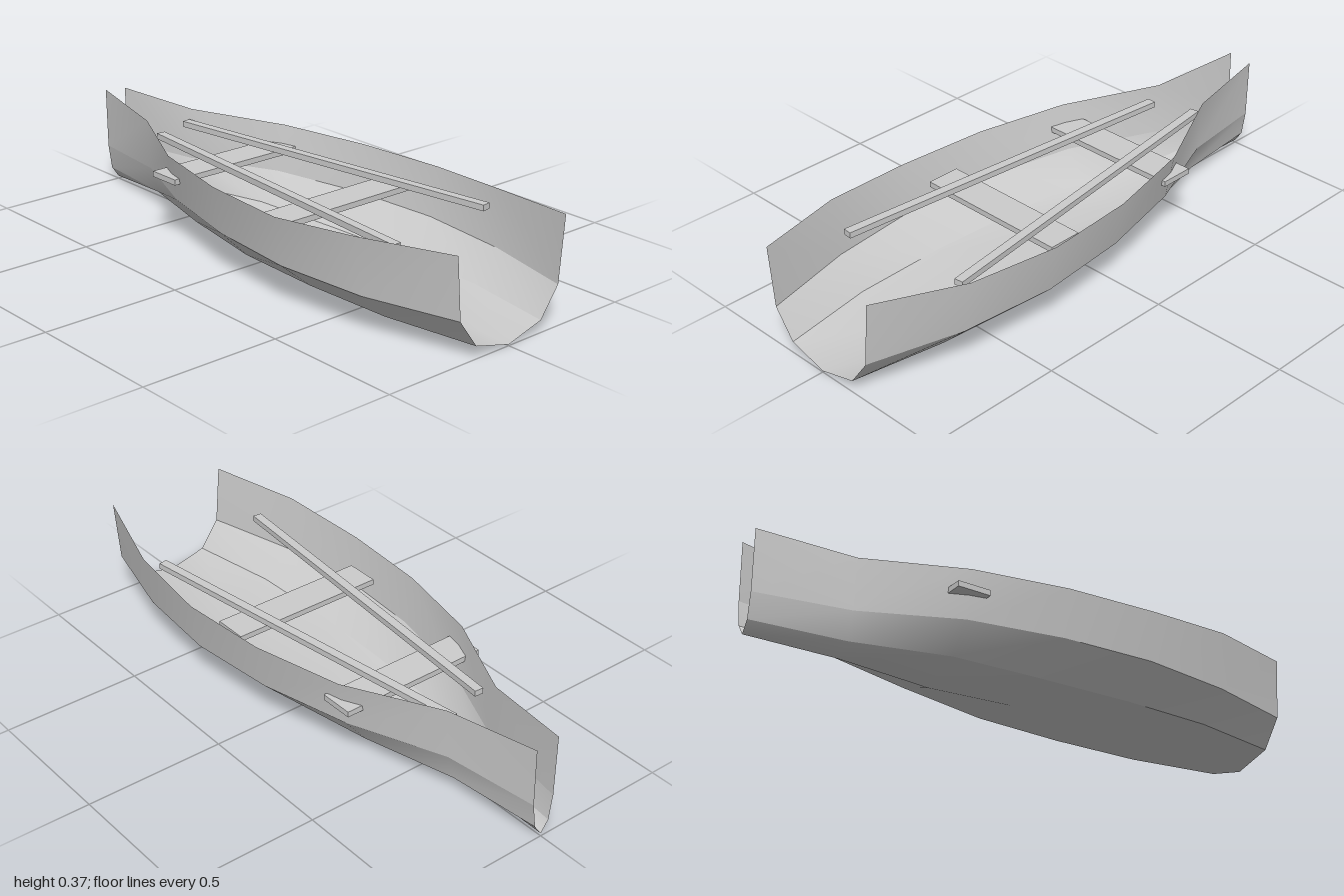
import * as THREE from 'three';

// Hull stations from bow to stern; each point is [half width, height]
const stations = [
  { z: 1.0, keel: 0.004, bilge: [0.143, 0.042], chine: [0.215, 0.141], sheer: 0.234, top: [0.367, 0.355] },
  { z: 0.667, keel: 0.01, bilge: [0.198, 0.042], chine: [0.3, 0.139], sheer: 0.326, top: [0.328, 0.34] },
  { z: 0.333, keel: 0.016, bilge: [0.208, 0.041], chine: [0.332, 0.143], sheer: 0.36, top: [0.315, 0.315] },
  { z: 0.0, keel: 0.018, bilge: [0.195, 0.041], chine: [0.305, 0.148], sheer: 0.335, top: [0.315, 0.316] },
  { z: -0.333, keel: 0.0, bilge: [0.15, 0.054], chine: [0.23, 0.153], sheer: 0.262, top: [0.32, 0.32] },
  { z: -0.667, keel: 0.016, bilge: [0.062, 0.052], chine: [0.09, 0.148], sheer: 0.102, top: [0.333, 0.331] },
  { z: -1.0, keel: 0.01, bilge: [0.028, 0.05], chine: [0.041, 0.14], sheer: 0.044, top: [0.35, 0.36] },
];

// Section points across the hull, from the left rim to the right rim
const section = (s) => [
  [s.sheer, s.top[0]], s.chine, s.bilge, [0, s.keel],
  [-s.bilge[0], s.bilge[1]], [-s.chine[0], s.chine[1]], [-s.sheer, s.top[1]],
];

// Skin between section points first..last, smooth within, creased at its borders
function strake(first, last) {
  const pos = [], idx = [], n = last - first + 1;
  stations.forEach((s, i) => {
    section(s).slice(first, last + 1).forEach(([x, y]) => pos.push(x, y, s.z));
    if (i === stations.length - 1) return;
    for (let j = 0; j < n - 1; j++) {
      const a = i * n + j, b = a + 1, c = a + n, d = c + 1;
      idx.push(a, b, c, b, d, c);
    }
  });
  const g = new THREE.BufferGeometry();
  g.setAttribute('position', new THREE.Float32BufferAttribute(pos, 3));
  g.setIndex(idx);
  g.computeVertexNormals();
  return g;
}

export function createModel() {
  const boat = new THREE.Group();
  boat.name = 'rowingBoat';
  const grey = new THREE.MeshStandardMaterial({ color: 0xcccccc, side: THREE.DoubleSide });
  grey.name = 'paleGrey';

  const add = (name, geometry) => {
    const mesh = new THREE.Mesh(geometry, grey);
    mesh.name = name;
    boat.add(mesh);
    return mesh;
  };

  // Open hull shell
  add('leftSide', strake(0, 1));
  add('leftBilge', strake(1, 2));
  add('bottom', strake(2, 4));
  add('rightBilge', strake(4, 5));
  add('rightSide', strake(5, 6));

  // Bench seats; the rear one passes through the hull sides
  add('frontSeat', new THREE.BoxGeometry(0.575, 0.02, 0.122)).position.set(-0.003, 0.243, 0.217);
  add('rearSeat', new THREE.BoxGeometry(0.555, 0.02, 0.122)).position.set(-0.003, 0.243, -0.337);

  // Plain oars laid between [x, z] end points
  const oar = (name, [x0, z0], [x1, z1]) => {
    const dx = x1 - x0, dz = z1 - z0;
    const mesh = add(name, new THREE.BoxGeometry(0.032, 0.021, Math.hypot(dx, dz)));
    mesh.position.set((x0 + x1) / 2, 0.287, (z0 + z1) / 2);
    mesh.rotation.y = Math.atan2(dx, dz);
  };
  oar('rightOar', [-0.085, -0.61], [-0.199, 0.713]);
  oar('leftOar', [0.071, -0.663], [0.256, 0.655]);

  return boat;
}
